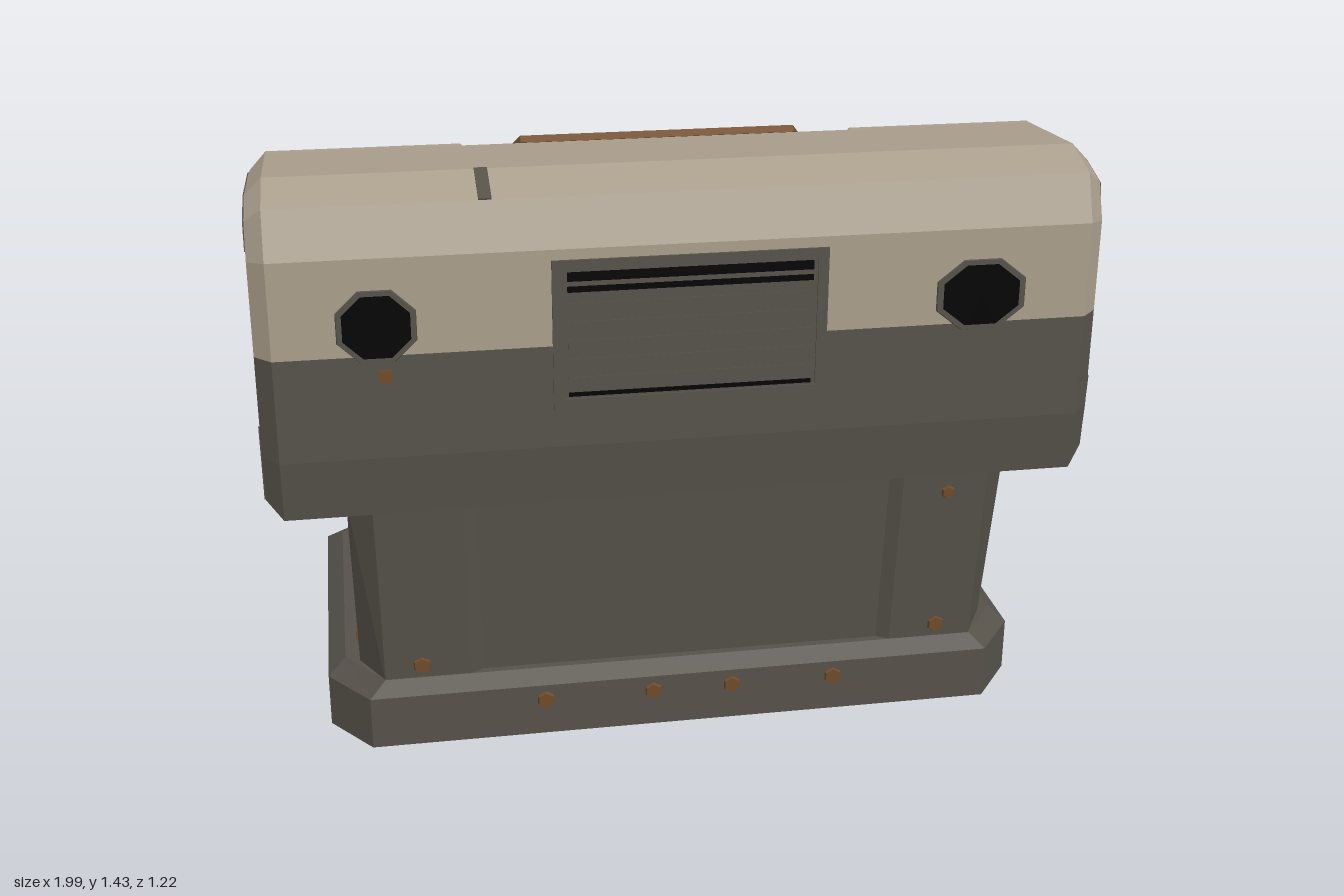
import * as THREE from 'three';

const mat = (name, color) => {
  const m = new THREE.MeshStandardMaterial({ color });
  m.name = name;
  return m;
};

export function createModel() {
  const beige = mat('beige shell', 0xaa9e8c);
  const dark = mat('dark grey brown', 0x56524a);
  const grey = mat('panel grey', 0x605e57);
  const bronze = mat('bronze', 0x704b28);
  const black = mat('screen black', 0x030303);

  const root = new THREE.Group();
  root.name = 'controlConsole';

  const add = (parent, name, geo, material, x = 0, y = 0, z = 0) => {
    const m = new THREE.Mesh(geo, material);
    m.name = name;
    m.position.set(x, y, z);
    parent.add(m);
    return m;
  };
  const box = (parent, name, material, w, h, d, x, y, z) =>
    add(parent, name, new THREE.BoxGeometry(w, h, d), material, x, y, z);
  const shapeOf = (pts) => new THREE.Shape(pts.map(([a, b]) => new THREE.Vector2(a, b)));
  const plate = (pts, depth, hole) => {
    const s = shapeOf(pts);
    if (hole) s.holes.push(shapeOf(hole));
    return new THREE.ExtrudeGeometry(s, { depth, bevelEnabled: false });
  };
  // Faceted disc whose axis points along local z
  const disc = (r0, r1, h, sides) => {
    const g = new THREE.CylinderGeometry(r1, r0, h, sides).rotateX(Math.PI / 2).toNonIndexed();
    g.computeVertexNormals();
    return g;
  };
  // Vertical prism from half an outline (x, z), mirrored; the rule moves top corners
  const prism = (half, y0, y1, rule) => {
    const pts = [...half, ...half.slice().reverse().map(([x, z]) => [-x, z])];
    const g = plate(pts, y1 - y0).rotateX(Math.PI / 2).translate(0, y1, 0);
    const p = g.attributes.position;
    for (let i = 0; i < p.count; i++) {
      if (rule && p.getY(i) > (y0 + y1) / 2) {
        const [x, z] = rule(p.getX(i), p.getZ(i));
        p.setX(i, x);
        p.setZ(i, z);
      }
    }
    g.computeVertexNormals();
    return g;
  };

  // Base plinth with chamfered corners and an indent between the operator-side feet
  const baseHalf = [[0.78, 0.55], [0.88, 0.42], [0.88, -0.37], [0.79, -0.445], [0.57, -0.445], [0.48, -0.37]];
  add(root, 'basePlinth', prism(baseHalf, 0.005, 0.14), dark);
  add(root, 'basePlinthTop', prism(baseHalf, 0.14, 0.18, (x, z) => [x * 0.95, z > 0 ? z - 0.02 : z + 0.06]), dark);

  // Pedestal with corner pillars and recessed middle panels
  const pedestalHalf = [[0.5, 0.51], [0.53, 0.527], [0.74, 0.527], [0.8, 0.42], [0.8, -0.2],
    [0.72, -0.36], [0.57, -0.36], [0.5, -0.27]];
  const lean = (z) => (z < -0.25 ? 0.08 : z < 0 ? 0.02 : z < 0.45 ? 0.08 : 0.042);
  add(root, 'pedestal', prism(pedestalHalf, 0.17, 0.655, (x, z) => [x * 1.01, z + lean(z)]), dark);
  const operatorPanel = box(root, 'pedestalPanel', dark, 0.88, 0.4, 0.008, 0, 0.42, -0.235);
  operatorPanel.rotation.x = 0.16;

  // Bolts on plinth, pillars and pedestal sides
  for (const x of [-0.35, -0.08, 0.12, 0.38])
    add(root, 'plinthBolt', disc(0.025, 0.02, 0.012, 6), bronze, x, 0.1, 0.551);
  for (const s of [-1, 1]) {
    add(root, 'pillarBolt', disc(0.025, 0.02, 0.012, 6), bronze, s * 0.65, 0.215, 0.532);
    for (const z of [0.34, -0.1])
      box(root, 'sideBolt', bronze, 0.014, 0.025, 0.025, s * 0.8, 0.21, z);
  }
  add(root, 'pillarBolt', disc(0.02, 0.015, 0.012, 6), bronze, 0.65, 0.6, 0.566);

  // Side profiles (z, y) run across the width with chamfered ends
  const bevel = 0.04, halfWidth = 0.99;
  const across = (profile, x0, x1) => new THREE.ExtrudeGeometry(shapeOf(profile.map(([z, y]) => [-z, y])), {
    depth: x1 - x0 - 2 * bevel, bevelThickness: bevel, bevelSize: bevel, bevelOffset: -bevel, bevelSegments: 1,
  }).translate(0, 0, bevel + x0).rotateY(Math.PI / 2);

  // Head shell: its lower front and rear underside take the dark colour
  const head = across([[0.575, 0.65], [-0.3, 0.65], [-0.53, 0.65], [-0.61, 0.71], [-0.62, 0.81], [-0.58, 0.835],
    [-0.17, 0.99], [0.14, 1.41], [0.43, 1.43], [0.55, 1.39], [0.592, 1.28], [0.592, 1.05], [0.592, 0.8]],
  -halfWidth, halfWidth);
  head.clearGroups();
  const hp = head.attributes.position, hn = head.attributes.normal;
  for (let i = 0; i < hp.count; i += 3) {
    const cy = (hp.getY(i) + hp.getY(i + 1) + hp.getY(i + 2)) / 3;
    const cz = (hp.getZ(i) + hp.getZ(i + 1) + hp.getZ(i + 2)) / 3;
    const low = cy < 1.04 && cz > -0.3 && (hn.getZ(i) > 0.3 || hn.getY(i) < -0.3);
    head.addGroup(i, 3, low ? 1 : 0);
  }
  add(root, 'headShell', head, [beige, dark]);

  // Side bays stand forward of the set-back centre bay
  const bay = [[0, 0.88], [-0.21, 0.975], [0.12, 1.41], [0.16, 1.41], [0.3, 1.25]];
  add(root, 'sideBay', across(bay, 0.445, halfWidth - 0.001), beige);
  add(root, 'sideBay', across(bay, 0.001 - halfWidth, -0.445), beige);

  // Dark patches on the head's ends
  const lowPatch = [[0.535, 0.69], [0.55, 0.88], [0.51, 0.85], [0.2, 0.825], [-0.1, 0.805], [-0.16, 0.76],
    [-0.37, 0.735], [-0.39, 0.7], [-0.42, 0.69]];
  const topPatch = [[0.53, 1.29], [0.2, 1.305], [0.16, 1.325], [0.16, 1.37], [0.42, 1.388], [0.52, 1.355]];
  for (const s of [-1, 1]) {
    for (const [name, pts] of [['lowerSidePatch', lowPatch], ['upperSidePatch', topPatch]]) {
      const g = plate(pts.map(([z, y]) => [-z, y]), 0.006).rotateY(Math.PI / 2);
      add(root, name, g, dark, s * halfWidth - 0.003);
    }
    box(root, 'sideLatch', bronze, 0.02, 0.03, 0.08, s * 0.975, 0.675, -0.09);
  }
  const notch = box(root, 'topNotch', dark, 0.03, 0.008, 0.125, -0.46, 1.41, 0.49);
  notch.rotation.x = 0.32;

  // Plain-side vent with slats
  const rect = (w, h) => [[-w, -h], [w, -h], [w, h], [-w, h]];
  add(root, 'ventFrame', plate(rect(0.32, 0.18), 0.008, rect(0.295, 0.155)), dark, 0, 1.075, 0.59);
  box(root, 'ventBack', dark, 0.6, 0.32, 0.004, 0, 1.075, 0.592);
  for (const [y, h, m] of [[1.215, 0.022, black], [1.185, 0.014, black], [1.14, 0.025, dark], [1.095, 0.025, dark],
    [1.05, 0.025, dark], [1.005, 0.025, dark], [0.96, 0.025, dark], [0.93, 0.01, black]])
    box(root, 'ventSlat', m, 0.57, h, 0.008, 0, y, 0.592);

  // Two eight-sided ports
  for (const [x, wide] of [[-0.715, 0.92], [0.69, 1.1]]) {
    const port = new THREE.Group();
    port.name = 'port';
    port.position.set(x, 1.12, 0.592);
    port.scale.set(wide, 0.88, 1);
    root.add(port);
    add(port, 'portRim', disc(0.108, 0.104, 0.008, 8).rotateZ(Math.PI / 8), dark);
    add(port, 'portOpening', disc(0.09, 0.09, 0.006, 8).rotateZ(Math.PI / 8), black, 0, 0, 0.003);
  }
  box(root, 'portStud', bronze, 0.03, 0.03, 0.008, -0.7, 1.0, 0.592);

  // Sloped mounting plane: local x = -x, local y up the slope, local z outward
  const slope = (name, [z0, y0], [z1, y1]) => {
    const g = new THREE.Group();
    g.name = name;
    const up = new THREE.Vector3(0, y1 - y0, z1 - z0).normalize();
    const side = new THREE.Vector3(-1, 0, 0);
    g.setRotationFromMatrix(new THREE.Matrix4().makeBasis(side, up, side.clone().cross(up)));
    g.position.set(0, (y0 + y1) / 2, (z0 + z1) / 2);
    root.add(g);
    return g;
  };

  // Three framed screens
  const centreWall = slope('centreWall', [-0.17, 0.99], [0.14, 1.41]);
  const sideWall = slope('sideWall', [-0.21, 0.975], [0.12, 1.41]);
  const screen = (wall, name, depth, outer, inner) => {
    add(wall, name + 'Frame', plate(outer, depth, inner), bronze);
    add(wall, name + 'Glass', plate(inner, 0.008), black, 0, 0, 0.004);
  };
  screen(centreWall, 'centreScreen', 0.022,
    [[-0.345, -0.25], [0.345, -0.25], [0.36, -0.205], [0.36, 0.23], [0.34, 0.262], [-0.34, 0.262], [-0.36, 0.23], [-0.36, -0.205]],
    [[-0.3, -0.2], [0.3, -0.2], [0.315, -0.18], [0.315, 0.195], [0.3, 0.217], [-0.3, 0.217], [-0.315, 0.195], [-0.315, -0.18]]);
  for (const s of [-1, 1]) {
    const flip = (pts) => pts.map(([x, y]) => [s * x, y]);
    screen(sideWall, 'sideScreen', 0.02,
      flip([[0.5, -0.195], [0.915, -0.27], [0.925, 0.165], [0.53, 0.215]]),
      flip([[0.535, -0.165], [0.89, -0.23], [0.898, 0.135], [0.558, 0.178]]));
    // Keys between the screens
    for (const v of [-0.08, 0.075]) {
      box(centreWall, 'keyHolder', dark, 0.06, 0.12, 0.02, s * 0.42, v, 0.008);
      for (const dv of [-0.03, 0.03])
        box(centreWall, 'wallKey', bronze, 0.045, 0.042, 0.034, s * 0.42, v + dv, 0.013);
    }
  }

  // Desk trays; helpers take model x and z
  const desk = slope('desk', [-0.58, 0.835], [-0.17, 0.99]);
  const v = (z) => (z + 0.385) / 0.935;
  const tray = (x, z, w, d) => {
    box(desk, 'trayFloor', grey, w, d, 0.016, -x, v(z), 0.004);
    add(desk, 'trayRim', plate(rect(w / 2, d / 2), 0.028, rect(w / 2 - 0.018, d / 2 - 0.018)), grey, -x, v(z), 0);
  };
  const key = (m, x, z, w, d, h) => box(desk, 'deskKey', m, w, d, h, -x, v(z) - h * 0.15, h / 2);
  tray(0, -0.38, 0.68, 0.33);
  for (const s of [-1, 1]) tray(s * 0.68, -0.425, 0.42, 0.3);

  // Centre controls with a six-sided knob
  add(desk, 'knobBase', disc(0.11, 0.1, 0.03, 6), grey, 0, v(-0.37), 0.024);
  add(desk, 'knob', disc(0.095, 0.08, 0.055, 6), bronze, 0, v(-0.37), 0.045);
  add(desk, 'dial', disc(0.06, 0.055, 0.035, 8), grey, 0.22, v(-0.36), 0.025);
  add(desk, 'dialCap', disc(0.03, 0.025, 0.045, 8), grey, 0.22, v(-0.36), 0.03);
  key(grey, 0.25, -0.355, 0.09, 0.08, 0.03);
  key(bronze, 0.25, -0.355, 0.06, 0.06, 0.045);
  key(beige, 0.25, -0.48, 0.055, 0.035, 0.03);
  key(grey, -0.25, -0.48, 0.07, 0.05, 0.03);

  // Side keypads
  for (const [x, z, w] of [[-0.8, -0.47, 0.1], [-0.8, -0.39, 0.1], [0.56, -0.505, 0.075], [0.66, -0.45, 0.07],
    [0.56, -0.385, 0.075], [0.66, -0.38, 0.075], [0.8, -0.505, 0.075], [0.8, -0.445, 0.07], [0.8, -0.38, 0.075]])
    key(bronze, x, z, w, 0.06, 0.06);
  for (const [x, z] of [[-0.68, -0.48], [-0.62, -0.38], [-0.7, -0.39], [-0.55, -0.48], [0.73, -0.41]])
    key(dark, x, z, 0.06, 0.06, 0.045);
  for (const [x, z] of [[-0.62, -0.485], [0.69, -0.51]]) key(beige, x, z, 0.04, 0.05, 0.04);

  return root;
}
